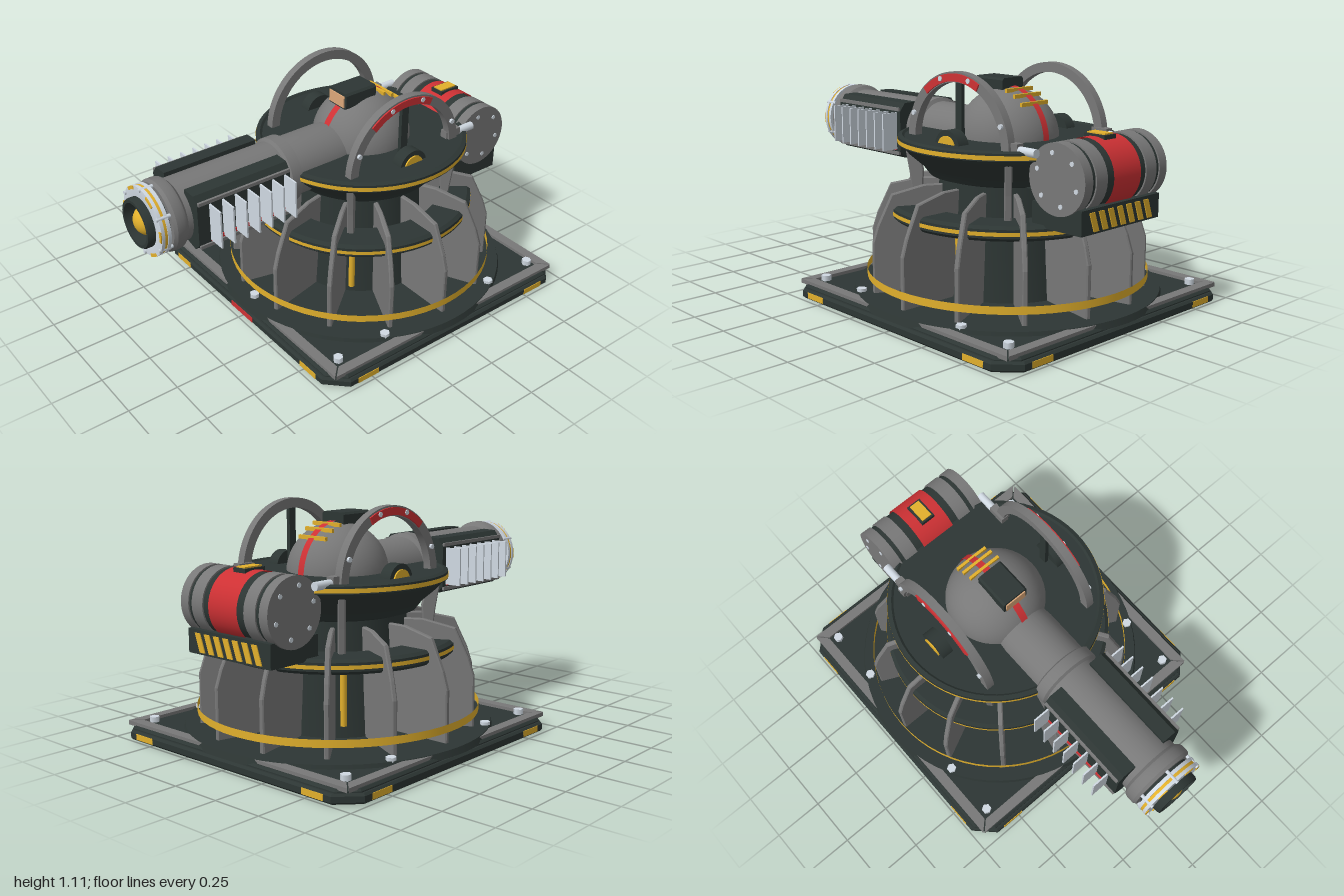
import * as THREE from 'three';
import { toCreasedNormals } from 'three/addons/utils/BufferGeometryUtils.js';

const mat = (name, color, extra = {}) =>
  Object.assign(new THREE.MeshStandardMaterial({ color, ...extra }), { name });

export function createModel() {
  const gray = mat('armour gray', 0x787878), dark = mat('dark green gray', 0x2d3634);
  const yellow = mat('warning yellow', 0xe2b02c, { side: THREE.DoubleSide });
  const red = mat('signal red', 0xce3134, { side: THREE.DoubleSide });
  const light = mat('pale steel', 0xd0d9e2), tan = mat('screen tan', 0xdca87a);

  const root = new THREE.Group();
  const model = new THREE.Group(); // origin on the turret's vertical axis
  model.name = 'turret';
  model.position.z = -0.26;
  root.add(model);

  const add = (name, geo, m, x = 0, y = 0, z = 0, parent = model) => {
    const o = new THREE.Mesh(geo, m);
    o.name = name;
    o.position.set(x, y, z);
    parent.add(o);
    return o;
  };
  const box = (w, h, d) => new THREE.BoxGeometry(w, h, d);
  const cyl = (r, h, axis = 'y', n = 32, r2 = r) => {
    const g = new THREE.CylinderGeometry(r, r2, h, n);
    if (axis === 'x') g.rotateZ(Math.PI / 2);
    if (axis === 'z') g.rotateX(Math.PI / 2);
    return g;
  };
  const band = (r, h, n = 64, start = 0, len = Math.PI * 2) =>
    new THREE.CylinderGeometry(r, r, h, n, 1, true, start, len);
  const lathe = (pts, n = 64) =>
    toCreasedNormals(new THREE.LatheGeometry(pts.map(p => new THREE.Vector2(...p)), n), 0.5);
  const poly = pts => new THREE.Shape(pts.map(p => new THREE.Vector2(...p)));
  const extrude = (shape, depth, bevel = 0) => new THREE.ExtrudeGeometry(shape, {
    depth, curveSegments: 32, bevelEnabled: bevel > 0, bevelSize: bevel, bevelThickness: bevel, bevelSegments: 1 });
  const around = (n, f, off = 0) => { for (let i = 0; i < n; i++) f(off + i * 2 * Math.PI / n); };
  const sides = [-1, 1];

  // Square base with cut corners
  const square = (h, c) => poly([[-h + c, -h], [h - c, -h], [h, -h + c], [h, h - c],
    [h - c, h], [-h + c, h], [-h, h - c], [-h, -h + c]]);
  add('basePlate', extrude(square(0.728, 0.09), 0.026, 0.01).rotateX(-Math.PI / 2), dark, 0, 0.014);
  add('baseTop', extrude(square(0.71, 0.07), 0.01, 0.01).rotateX(-Math.PI / 2), dark, 0, 0.045);
  add('baseDisc', cyl(0.725, 0.03, 'y', 64, 0.735), dark, 0, 0.068);
  for (let k = 0; k < 4; k++) {
    const side = new THREE.Group();
    side.name = 'baseSide';
    side.rotation.y = k * Math.PI / 2;
    model.add(side);
    const rail = poly([[-0.7, 0.705], [0.7, 0.705], [0.65, 0.655], [-0.65, 0.655]]);
    add('baseRail', extrude(rail, 0.02).rotateX(Math.PI / 2), gray, 0, 0.08, 0, side);
    for (const s of sides) add('basePatch', box(0.12, 0.028, 0.006), yellow, s * 0.54, 0.027, 0.737, side);
    if (k === 0) add('basePatchRed', box(0.18, 0.028, 0.006), red, 0, 0.027, 0.737, side);
  }
  const bolt = (x, y, z) => add('baseBolt', cyl(0.024, 0.026, 'y', 6), light, x, y, z);
  for (const s of sides) for (const z of [-0.62, -0.34, 0.34, 0.62]) bolt(s * 0.615, 0.085, z);
  bolt(0, 0.091, 0.66);

  // Underside
  add('undersideRing', lathe([[0.215, 0.01], [0.235, 0], [0.245, 0], [0.265, 0.01]].reverse()), yellow);
  add('undersideCap', new THREE.SphereGeometry(0.09, 28, 12).scale(1, 0.13, 1), light, 0, 0.012);
  around(4, a => add('undersideHole', new THREE.CircleGeometry(0.03, 16).rotateX(Math.PI / 2), gray,
    0.62 * Math.cos(a), 0.002, 0.62 * Math.sin(a)), Math.PI / 4);

  // Pedestal core, radial fins and hoops
  add('pedestalCore', lathe([[0.36, 0.07], [0.34, 0.3], [0.32, 0.62]]), dark);
  const fin = poly([[0.28, 0.08], [0.65, 0.08], [0.65, 0.32], [0.625, 0.4], [0.56, 0.54], [0.41, 0.575], [0.28, 0.575]]);
  around(14, a => {
    add('pedestalFin', extrude(fin, 0.014, 0.005).translate(0, 0, -0.007), gray).rotation.y = a;
  });
  add('lowerHoop', band(0.667, 0.036), yellow, 0, 0.155);
  add('upperHoop', lathe([[0.4, 0.42], [0.54, 0.42], [0.557, 0.435], [0.557, 0.475], [0.54, 0.488], [0.4, 0.488]]), dark);
  add('upperHoopStripe', band(0.56, 0.018), yellow, 0, 0.455);
  for (const a of [0.224, -0.768, 2.374])
    add('conduit', cyl(0.015, 0.27, 'y', 10), yellow, 0.41 * Math.cos(a), 0.29, -0.41 * Math.sin(a));

  // Rotating dish
  add('dish', lathe([[0, 0.57], [0.3, 0.57], [0.32, 0.605], [0.37, 0.62], [0.4, 0.66], [0.47, 0.72],
    [0.5, 0.755], [0.515, 0.76], [0.515, 0.795], [0.495, 0.802], [0.485, 0.793], [0, 0.793]]), dark);
  add('dishStripe', band(0.518, 0.02), yellow, 0, 0.776);
  const leg = poly([[0.41, 0.48], [0.44, 0.47], [0.455, 0.6], [0.48, 0.74], [0.42, 0.7], [0.4, 0.62]]);
  around(4, a => {
    add('dishBracket', extrude(leg, 0.024, 0.005).translate(0, 0, -0.012), gray).rotation.y = a;
  }, Math.PI / 4);

  // Dome with stripe, vents and sensor
  add('dome', new THREE.SphereGeometry(0.24, 40, 24), gray, 0, 0.78);
  add('domeStripe', band(0.245, 0.036, 40, 0, Math.PI).rotateZ(Math.PI / 2), red, 0, 0.78);
  for (const z of [-0.07, -0.12, -0.165])
    add('domeVent', box(0.17, 0.018, 0.014), yellow, 0, 0.781 + Math.sqrt(0.0575 - z * z), z);
  const sensor = (w, h) => poly([[-w + 0.01, -h], [w - 0.01, -h], [w, -h + 0.01], [w, h - 0.01],
    [w - 0.01, h], [-w + 0.01, h], [-w, h - 0.01], [-w, -h + 0.01]]);
  add('sensorBox', extrude(sensor(0.067, 0.041), 0.18), dark, 0, 1.022, -0.03);
  add('sensorScreen', box(0.11, 0.058, 0.008), tan, 0, 1.02, 0.152);

  // Side arches and hubs
  const sector = (ro, ri, a, b) => {
    const s = new THREE.Shape();
    s.absarc(0, 0, ro, a, b, false);
    s.absarc(0, 0, ri, b, a, true);
    return s;
  };
  const arc = (ro, ri, a, b, w) => toCreasedNormals(
    extrude(sector(ro, ri, a, b), w).rotateY(-Math.PI / 2).translate(w / 2, 0, 0), 0.5);
  for (const s of sides) {
    add('arch', arc(0.33, 0.283, 0, Math.PI, 0.04), gray, s * 0.308, 0.78);
    add('archRedPlate', arc(0.322, 0.287, 0.85, 2.05, 0.009), red, s * 0.331, 0.78);
    for (const a of [0.4, 1.25, 1.85, 2.75]) add('archBolt', cyl(0.012, 0.02, 'x', 8), light,
      s * 0.33, 0.78 + 0.308 * Math.sin(a), 0.308 * Math.cos(a));
    add('hub', cyl(0.08, 0.06, 'x'), dark, s * 0.355, 0.775);
    add('hubCap', cyl(0.055, 0.008, 'x'), yellow, s * 0.388, 0.775);
    add('rearPiston', cyl(0.02, 0.12, 'z', 12), light, s * 0.295, 0.8, -0.4);
    add('rearPistonArm', box(0.04, 0.06, 0.09), gray, s * 0.295, 0.8, -0.32);
  }
  add('archSpoke', box(0.02, 0.27, 0.04), dark, 0.305, 0.93);

  // Barrel, with its own origin on the bore axis
  const barrel = new THREE.Group();
  barrel.name = 'barrel';
  barrel.position.set(0, 0.757, 0);
  model.add(barrel);
  const turned = (name, pts, m) => add(name, lathe(pts, 40).rotateX(Math.PI / 2), m, 0, 0, 0, barrel);
  turned('barrelTube', [[0.13, 0.1], [0.145, 0.24], [0.145, 0.465], [0.163, 0.475], [0.163, 0.53],
    [0.148, 0.54], [0.148, 1.08], [0.165, 1.095], [0.17, 1.11], [0.17, 1.145], [0.16, 1.16], [0, 1.16]], gray);
  turned('muzzleNeck', [[0.135, 1.155], [0.135, 1.18]], dark);
  turned('muzzleRingRear', [[0.13, 1.175], [0.165, 1.175], [0.165, 1.192], [0.13, 1.192]], light);
  turned('muzzleStripe', [[0.162, 1.192], [0.162, 1.206]], yellow);
  turned('muzzleRingFront', [[0.13, 1.206], [0.165, 1.206], [0.165, 1.222], [0.118, 1.224], [0.1, 1.22]], light);
  turned('muzzle', [[0.117, 1.16], [0.117, 1.25], [0.112, 1.26], [0.098, 1.26], [0.085, 1.18], [0, 1.17]], dark);
  add('emitterBall', new THREE.SphereGeometry(0.072, 28, 18), yellow, 0, 0, 1.19, barrel);
  around(6, a => {
    const tick = sector(0.164, 0.149, a - 0.17, a + 0.17);
    add('muzzleTick', extrude(tick, 0.005), yellow, 0, 0, 1.222, barrel);
    add('muzzleBolt', cyl(0.009, 0.07, 'z', 8), light,
      0.158 * Math.cos(a + 0.52), 0.158 * Math.sin(a + 0.52), 1.195, barrel);
  });
  for (const s of sides) {
    const cross = poly([[0.085, -0.12], [0.15, -0.135], [0.185, -0.1], [0.185, 0.1], [0.155, 0.14], [0.085, 0.142]]);
    const g = extrude(cross, 0.49);
    if (s < 0) g.translate(0, 0, -0.49).rotateY(Math.PI);
    add('radiatorHousing', g, dark, 0, 0, 0.565, barrel);
    for (const y of [-0.11, 0.11])
      add('radiatorRail', box(0.012, 0.016, 0.48), gray, s * 0.186, y, 0.81, barrel);
    for (let i = 0; i < 7; i++)
      add('radiatorFin', box(0.09, 0.185, 0.008), light, s * 0.227, 0.002, 0.595 + i * 0.066, barrel);
    add('radiatorRedBar', box(0.009, 0.018, 0.4), red, s * 0.187, -0.086, 0.793, barrel);
  }

  // Rear drum and its cradle
  const drum = new THREE.Group();
  drum.name = 'rearDrum';
  drum.position.set(0, 0.7, -0.555);
  model.add(drum);
  add('drumBody', cyl(0.15, 0.52, 'x', 40), dark, 0, 0, 0, drum);
  add('drumRedBand', band(0.158, 0.18, 40).rotateZ(Math.PI / 2), red, 0, 0, 0, drum);
  for (const s of sides) {
    add('drumCollar', cyl(0.157, 0.07, 'x', 40), gray, s * 0.165, 0, 0, drum);
    add('drumEnd', cyl(0.157, 0.05, 'x', 40), gray, s * 0.248, 0, 0, drum);
    around(6, a => add('drumBolt', cyl(0.011, 0.008, 'x', 8), light,
      s * 0.273, 0.115 * Math.sin(a), 0.115 * Math.cos(a), drum), 0.3);
  }
  add('drumLatchFrame', box(0.075, 0.02, 0.115), dark, 0, 0.156, 0, drum);
  add('drumLatch', box(0.054, 0.008, 0.098), yellow, 0, 0.168, 0, drum);
  add('drumCradle', box(0.52, 0.11, 0.28), dark, 0, -0.17, 0.01, drum);
  add('drumMount', box(0.36, 0.14, 0.26), dark, 0, -0.02, 0.22, drum);
  for (let i = 0; i < 7; i++) {
    const x = -0.21 + i * 0.06;
    const stripe = poly([[x, -0.215], [x + 0.033, -0.215], [x + 0.063, -0.13], [x + 0.03, -0.13]]);
    add('hazardStripe', extrude(stripe, 0.006), yellow, 0, 0, -0.135, drum);
  }
  return root;
}
